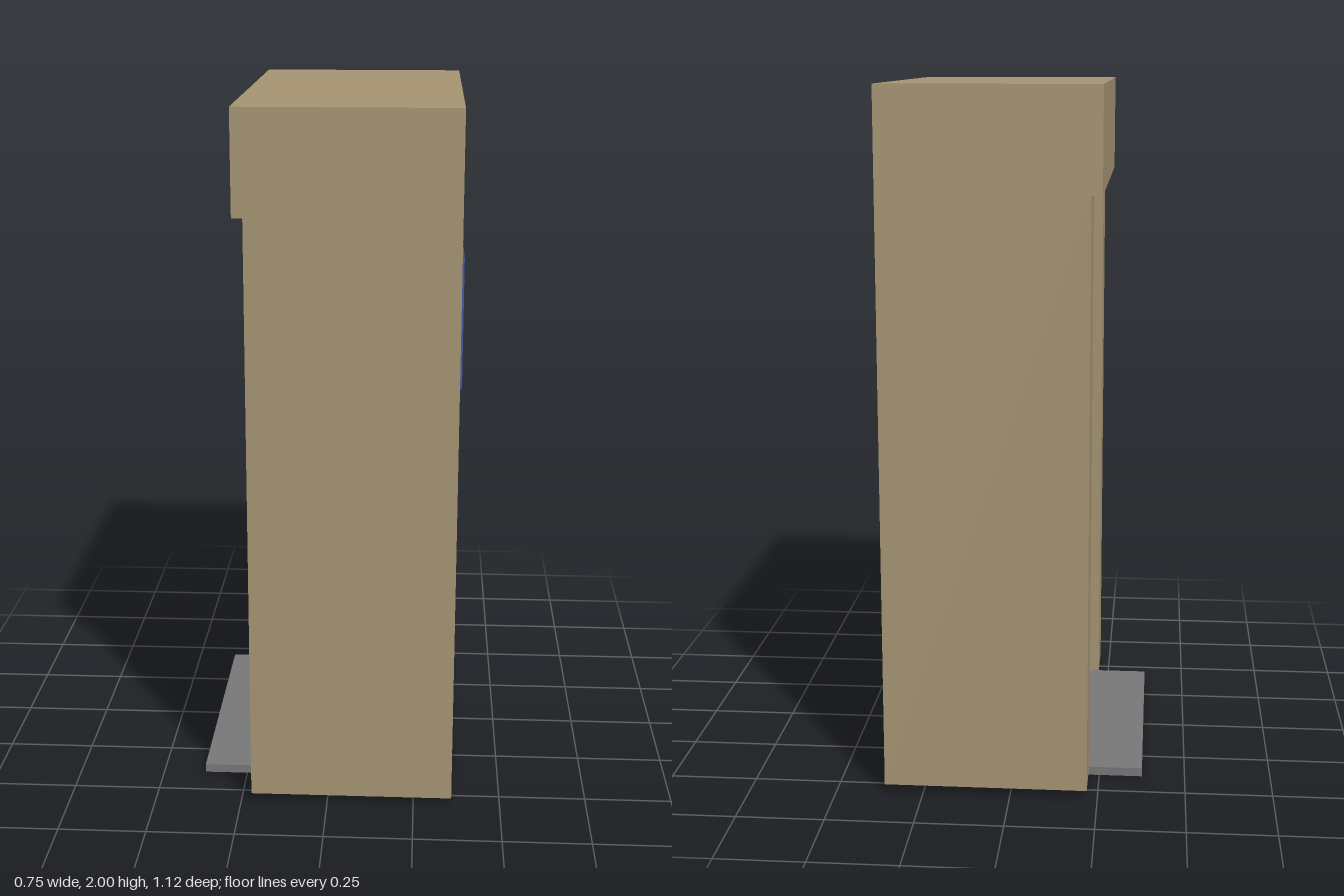
import * as THREE from 'three';

const mat = (color) => new THREE.MeshStandardMaterial({ color });

export function createModel() {
  const stone = mat(0xa59472), blue = mat(0x465eae), grey = mat(0x777777);
  const brass = mat(0xb8962e), black = mat(0x0a0a0a);

  // Built with the doorway facing local +z, then turned to face -x.
  const model = new THREE.Group();
  model.name = 'doorway';
  const door = new THREE.Group();
  door.name = 'door';
  model.add(door);

  const add = (parent, name, geometry, material) => {
    const mesh = new THREE.Mesh(geometry, material);
    mesh.name = name;
    parent.add(mesh);
    return mesh;
  };

  // Box given by its limits on each axis
  const box = (parent, name, material, x0, x1, y0, y1, z0, z1) => {
    const g = new THREE.BoxGeometry(x1 - x0, y1 - y0, z1 - z0);
    g.translate((x0 + x1) / 2, (y0 + y1) / 2, (z0 + z1) / 2);
    return add(parent, name, g, material);
  };

  // Bevelled panel: a box whose front face is drawn in on all sides
  const raisedPanel = (name, width, y0, y1, depth, bevelX, bevelY) => {
    const h = y1 - y0;
    const g = new THREE.BoxGeometry(width, h, depth);
    const p = g.attributes.position;
    for (let i = 0; i < p.count; i++) {
      if (p.getZ(i) < 0) continue;
      p.setX(i, p.getX(i) * (1 - 2 * bevelX / width));
      p.setY(i, p.getY(i) * (1 - 2 * bevelY / h));
    }
    g.computeVertexNormals();
    const mesh = add(door, name, g, blue);
    mesh.position.set(0, (y0 + y1) / 2, depth / 2);
    return mesh;
  };

  const rect = (P, x0, x1, y0, y1) => {
    const s = new P();
    s.moveTo(x0, y0);
    s.lineTo(x1, y0);
    s.lineTo(x1, y1);
    s.lineTo(x0, y1);
    s.closePath();
    return s;
  };

  // Plate with rectangular openings, from z0 to z1
  const plate = (name, outer, holes, z0, z1) => {
    const shape = rect(THREE.Shape, ...outer);
    for (const hole of holes) shape.holes.push(rect(THREE.Path, ...hole));
    const g = new THREE.ExtrudeGeometry(shape, { depth: z1 - z0, bevelEnabled: false });
    g.translate(0, 0, z0);
    return add(door, name, g, blue);
  };

  // Wall around the opening
  box(model, 'leftWall', stone, 0.395, 0.5625, 0.025, 1.71, -0.36, 0.22);
  box(model, 'rightWall', stone, -0.5625, -0.395, 0.025, 1.71, -0.36, 0.22);
  box(model, 'lintel', stone, -0.5625, 0.5625, 1.71, 2, -0.36, 0.25);
  box(model, 'doorstep', grey, -0.395, 0.395, 0, 0.025, -0.358, 0.375);

  // Door body, frame and face with three openings
  box(door, 'doorCore', blue, -0.395, 0.395, 0.003, 1.71, -0.36, 0.08);
  plate('doorFrame', [-0.395, 0.395, 0.025, 1.71], [[-0.355, 0.355, 0.05, 1.675]], 0.08, 0.145);
  const openings = [
    [-0.28, 0.28, 1.17, 1.56],
    [-0.3, 0.3, 0.8, 1.1],
    [-0.3, 0.3, 0.27, 0.64],
  ];
  plate('doorFace', [-0.355, 0.355, 0.05, 1.675], openings, 0.08, 0.12);

  // Mouldings round the openings
  for (const [x0, x1, y0, y1] of openings) {
    const b = 0.018;
    plate('moulding', [x0 - b, x1 + b, y0 - b, y1 + b], [[x0, x1, y0, y1]], 0.115, 0.13);
  }

  // Raised lower panels
  for (const [, , y0, y1] of openings.slice(1)) {
    raisedPanel('raisedPanel', 0.57, y0 + 0.015, y1 - 0.015, 0.04, 0.09, 0.05).position.z = 0.1;
  }

  // Barred window
  box(door, 'windowPane', black, -0.28, 0.28, 1.17, 1.56, 0.08, 0.083);
  for (let i = -3; i <= 3; i++) {
    const bar = add(door, 'windowBar', new THREE.CylinderGeometry(0.01, 0.01, 0.39, 8), blue);
    bar.position.set(i * 0.07, 1.365, 0.105);
  }
  for (const y of [1.23, 1.5]) {
    box(door, 'crossBar', blue, -0.28, 0.28, y - 0.01, y + 0.01, 0.098, 0.112);
  }

  // Letter plate
  box(door, 'letterPlate', brass, -0.1, 0.1, 0.693, 0.747, 0.12, 0.128);

  // Bevelled panel on the back
  const back = raisedPanel('backPanel', 0.61, 1.165, 1.567, 0.012, 0.035, 0.015);
  back.rotation.y = Math.PI;
  back.position.z = -0.366;

  model.rotation.y = -Math.PI / 2;
  const root = new THREE.Group();
  root.name = 'doorwayModel';
  root.add(model);
  return root;
}
